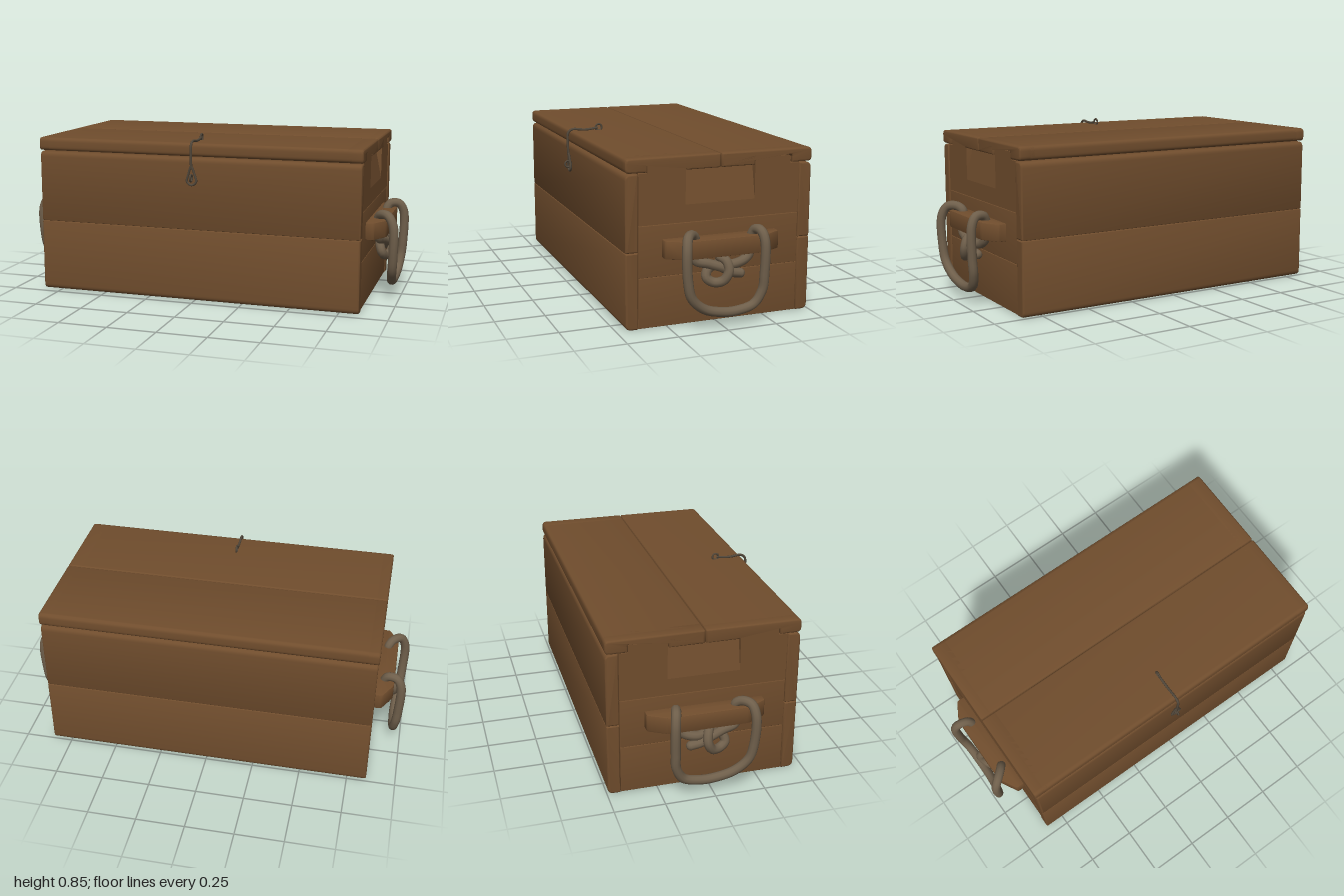
import * as THREE from 'three';
import { toCreasedNormals } from 'three/addons/utils/BufferGeometryUtils.js';

const wood = new THREE.MeshStandardMaterial({ color: 0x704d2d });
wood.name = 'brown wood';
const rope = new THREE.MeshStandardMaterial({ color: 0x6f5f4b });
rope.name = 'hemp rope';
const cord = new THREE.MeshStandardMaterial({ color: 0x51473a });
cord.name = 'dark cord';

const V = (x, y, z) => new THREE.Vector3(x, y, z);

function add(parent, name, geometry, material) {
  const mesh = new THREE.Mesh(geometry, material);
  mesh.name = name;
  parent.add(mesh);
  return mesh;
}

// Outline whose corners [u, v, radius] are rounded where a radius is given
function outline(corners) {
  const shape = new THREE.Shape();
  const n = corners.length;
  corners.forEach(([u, v, r = 0], i) => {
    const p = new THREE.Vector2(u, v);
    const toward = ([a, b]) => new THREE.Vector2(a, b).sub(p).setLength(r).add(p);
    const from = toward(corners[(i + n - 1) % n]);
    const to = toward(corners[(i + 1) % n]);
    if (i === 0) shape.moveTo(from.x, from.y);
    else shape.lineTo(from.x, from.y);
    if (r) shape.quadraticCurveTo(u, v, to.x, to.y);
  });
  shape.closePath();
  return shape;
}

// Board with a (z, y) profile running along x from x0 to x1
function board(corners, x0, x1, bevel = 0) {
  const geometry = new THREE.ExtrudeGeometry(outline(corners), {
    depth: x1 - x0 - 2 * bevel, curveSegments: 5, bevelEnabled: bevel > 0,
    bevelSize: bevel, bevelThickness: bevel, bevelOffset: -bevel, bevelSegments: 3,
  });
  geometry.rotateY(-Math.PI / 2);
  geometry.translate(x1 - bevel, 0, 0);
  return toCreasedNormals(geometry, 0.7);
}

const rect = (z0, z1, y0, y1, radii = [0, 0, 0, 0]) => [
  [z0, y0, radii[0]], [z1, y0, radii[1]], [z1, y1, radii[2]], [z0, y1, radii[3]],
];

function tube(points, radius, segments, sides, closed = false) {
  const curve = new THREE.CatmullRomCurve3(points, closed);
  return new THREE.TubeGeometry(curve, segments, radius, sides, closed);
}

// Front and back walls: two planks each, rounded on the outer edges
function buildWalls(chest) {
  const r = 0.028, s = 0.004;
  add(chest, 'frontLowerPlank', board(rect(0.392, 0.455, 0.003, 0.374, [s, r, s, s]), -0.85, 0.85, 0.008), wood);
  add(chest, 'frontUpperPlank', board(rect(0.392, 0.455, 0.376, 0.745, [s, s, r, s]), -0.85, 0.85, 0.008), wood);
  add(chest, 'backLowerPlank', board(rect(-0.495, -0.432, 0.003, 0.374, [r, s, s, s]), -0.85, 0.85, 0.008), wood);
  add(chest, 'backUpperPlank', board(rect(-0.495, -0.432, 0.376, 0.745, [s, s, s, r]), -0.85, 0.85, 0.008), wood);
  add(chest, 'floor', new THREE.BoxGeometry(1.68, 0.04, 0.83), wood).position.set(0, 0.032, -0.02);
}

// End wall: three planks, the top one with two tabs and a sloping finger recess
function buildEnd(chest, side) {
  const span = side > 0 ? [0.785, 0.845] : [-0.845, -0.785];
  const end = new THREE.Group();
  end.name = side > 0 ? 'leftEnd' : 'rightEnd';
  add(end, 'lowerEndPlank', board(rect(-0.43, 0.39, 0.005, 0.249), ...span, 0.002), wood);
  add(end, 'middleEndPlank', board(rect(-0.43, 0.39, 0.251, 0.499), ...span, 0.002), wood);
  add(end, 'tabbedEndPlank', board([
    [-0.43, 0.501], [0.39, 0.501], [0.39, 0.745], [0.345, 0.745], [0.345, 0.784, 0.01], [0.157, 0.784, 0.01],
    [0.157, 0.585], [-0.198, 0.585], [-0.198, 0.784, 0.01], [-0.385, 0.784, 0.01], [-0.385, 0.745], [-0.43, 0.745],
  ], ...span), wood);
  const slope = outline([[0.785, 0.58], [0.845, 0.585], [0.812, 0.745], [0.785, 0.745]].map(([x, y]) => [x * side, y]));
  const recess = new THREE.ExtrudeGeometry(slope, { depth: 0.357, bevelEnabled: false });
  recess.translate(0, 0, -0.199);
  add(end, 'fingerRecess', recess, wood);
  chest.add(end);
}

// Lid: two boards, with end pieces notched over the tabs
function buildLid(chest) {
  const lid = new THREE.Group();
  lid.name = 'lid';
  const y0 = 0.75, y1 = 0.818, notch = 0.788, r = 0.022, s = 0.008;
  const halves = [
    ['front', -0.017, 0.455, 0.154, 0.348, [s, r, r, s]],
    ['back', -0.495, -0.021, -0.388, -0.195, [r, s, s, r]],
  ];
  for (const [label, z0, z1, n0, n1, radii] of halves) {
    add(lid, label + 'LidBoard', board(rect(z0, z1, y0, y1, radii), -0.8, 0.8), wood);
    const notched = [
      [z0, y0, radii[0]], [n0, y0, 0.006], [n0, notch, 0.01], [n1, notch, 0.01], [n1, y0, 0.006],
      [z1, y0, radii[1]], [z1, y1, radii[2]], [z0, y1, radii[3]],
    ];
    add(lid, label + 'LidLeftEnd', board(notched, 0.77, 0.855, 0.009), wood);
    add(lid, label + 'LidRightEnd', board(notched, -0.855, -0.77, 0.009), wood);
  }
  chest.add(lid);
}

// Carrying handle: tapered rail with a rope passed through it and knotted below
function buildHandle(chest, side) {
  const handle = new THREE.Group();
  handle.name = side > 0 ? 'leftHandle' : 'rightHandle';

  const plan = outline([[0.84, 0.31], [0.885, 0.31, 0.01], [0.937, 0.215, 0.012], [0.937, -0.18, 0.012],
    [0.885, -0.275, 0.01], [0.84, -0.275]].map(([x, z, r]) => [x * side, z, r]));
  const rail = new THREE.ExtrudeGeometry(plan, {
    depth: 0.076, bevelSize: 0.006, bevelThickness: 0.006, bevelOffset: -0.006, bevelSegments: 2,
  });
  rail.rotateX(-Math.PI / 2);
  rail.translate(0, 0.348, 0);
  add(handle, 'handleRail', toCreasedNormals(rail, 0.6), wood);

  const path = [
    // tail, knot crossing and left hole
    [0.905, 0.245, -0.1], [0.91, 0.257, -0.05], [0.912, 0.285, 0], [0.9, 0.305, 0.06], [0.89, 0.325, 0.125],
    [0.885, 0.38, 0.135], [0.885, 0.43, 0.125], [0.905, 0.453, 0.15],
    // hanging loop
    [0.945, 0.45, 0.185], [0.972, 0.4, 0.2], [0.974, 0.25, 0.195], [0.968, 0.165, 0.172], [0.958, 0.105, 0.105],
    [0.953, 0.08, 0.02], [0.953, 0.077, -0.06], [0.957, 0.103, -0.15], [0.967, 0.17, -0.188],
    [0.974, 0.25, -0.194], [0.973, 0.41, -0.194], [0.948, 0.453, -0.186], [0.905, 0.453, -0.175],
    // right hole and knot turn
    [0.885, 0.42, -0.165], [0.885, 0.36, -0.163], [0.89, 0.315, -0.14], [0.9, 0.292, -0.07], [0.882, 0.295, 0],
    [0.888, 0.275, 0.06], [0.9, 0.24, 0.073], [0.912, 0.216, 0.04], [0.932, 0.225, 0], [0.942, 0.27, -0.025],
    [0.925, 0.315, -0.02], [0.89, 0.33, 0],
  ].map(([x, y, z]) => V(x * side, y, z));
  add(handle, 'handleRope', tube(path, 0.0235, 220, 10), rope);
  for (const p of [path[0], path[path.length - 1]]) {
    add(handle, 'ropeEnd', new THREE.SphereGeometry(0.0235, 10, 6), rope).position.copy(p);
  }
  chest.add(handle);
}

// Cord latch: eye on the lid, cord over the edge and a loop around a front eye
function buildLatch(chest) {
  const latch = new THREE.Group();
  latch.name = 'latch';
  const x = -0.006;
  for (const [y, z] of [[0.832, 0.305], [0.645, 0.476]]) {
    const eye = add(latch, 'latchEye', new THREE.TorusGeometry(0.017, 0.005, 6, 16), cord);
    eye.rotation.y = Math.PI / 2;
    eye.position.set(x, y, z);
  }
  add(latch, 'latchCord', tube([V(x, 0.83, 0.31), V(x, 0.823, 0.38), V(x, 0.828, 0.45), V(x, 0.812, 0.472),
    V(x, 0.76, 0.476), V(x, 0.69, 0.472)], 0.0065, 40, 7), cord);
  add(latch, 'latchLoop', tube([V(x, 0.705, 0.473), V(x + 0.014, 0.67, 0.47), V(x + 0.024, 0.625, 0.469),
    V(x, 0.608, 0.468), V(x - 0.024, 0.625, 0.469), V(x - 0.014, 0.67, 0.47)], 0.006, 40, 7, true), cord);
  chest.add(latch);
}

export function createModel() {
  const chest = new THREE.Group();
  chest.name = 'woodenChest';
  buildWalls(chest);
  buildLid(chest);
  for (const side of [1, -1]) {
    buildEnd(chest, side);
    buildHandle(chest, side);
  }
  buildLatch(chest);
  return chest;
}
